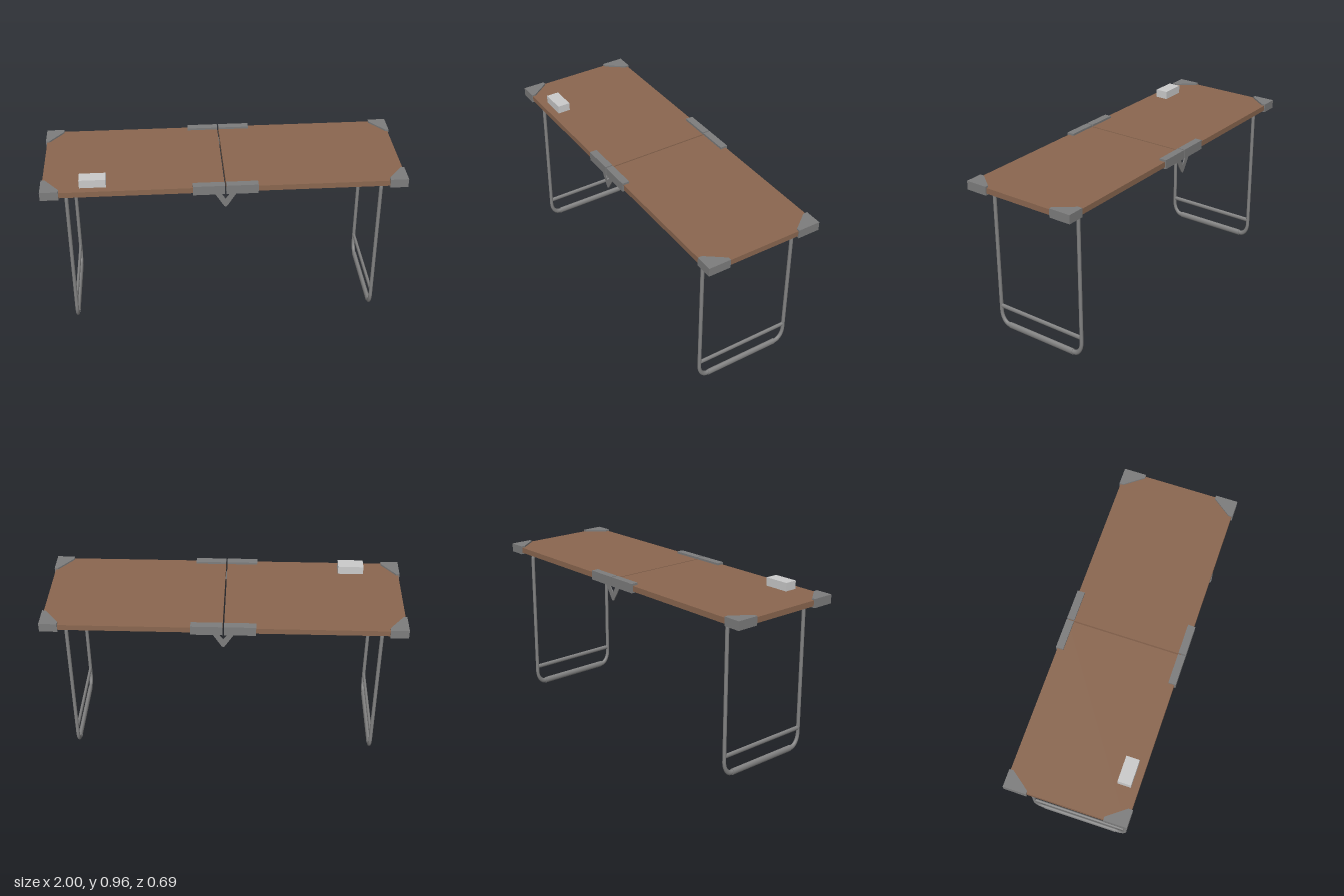
import * as THREE from 'three';

const mat = (name, color) => {
  const m = new THREE.MeshStandardMaterial({ color });
  m.name = name;
  return m;
};

export function createModel() {
  const wood = mat('brown board', 0x8b6750);
  const metal = mat('grey metal', 0x828282);
  const plastic = mat('grey fittings', 0x7d7d7d);
  const pale = mat('pale grey', 0xcbcbcb);

  const table = new THREE.Group();
  table.name = 'foldingTable';

  const add = (parent, name, geometry, material, x = 0, y = 0, z = 0) => {
    const mesh = new THREE.Mesh(geometry, material);
    mesh.name = name;
    mesh.position.set(x, y, z);
    parent.add(mesh);
    return mesh;
  };
  // Box given by its minimum and maximum corners
  const box = (name, a, b, material) => add(table, name,
    new THREE.BoxGeometry(b[0] - a[0], b[1] - a[1], b[2] - a[2]), material,
    (a[0] + b[0]) / 2, (a[1] + b[1]) / 2, (a[2] + b[2]) / 2);

  const GAP = 0.004; // half of the fold gap
  const STRETCH = 1.5; // tubes are taller than wide in section

  // Rounded closed loop of the leg frame in the yz plane, before stretching
  const loop = new THREE.CurvePath();
  const w = 0.285, y0 = 0.022 / STRETCH, y1 = 0.869 / STRETCH;
  const corners = [[w, y0, 0.053], [w, y1, 0.018], [-w, y1, 0.018], [-w, y0, 0.053]];
  const point = (z, y) => new THREE.Vector3(0, y, z);
  const k = 0.448; // handle offset for a circular corner
  const ends = corners.map(([z, y, r], i) => {
    const sz = Math.sign(z), sy = y === y0 ? -1 : 1;
    const side = t => point(z, y - sy * r * t);
    const flat = t => point(z - sz * r * t, y);
    return i % 2 ? [side(1), side(k), flat(k), flat(1)] : [flat(1), flat(k), side(k), side(1)];
  });
  ends.forEach((e, i) => {
    loop.add(new THREE.CubicBezierCurve3(...e));
    loop.add(new THREE.LineCurve3(e[3], ends[(i + 1) % 4][0]));
  });
  const frameGeo = new THREE.TubeGeometry(loop, 240, 0.0103, 14, true).scale(1, STRETCH, 1);
  const rod = (radius, length) =>
    new THREE.CylinderGeometry(radius, radius, length, 20).rotateX(Math.PI / 2).scale(1, STRETCH, 1);

  // Corner cap outline, seen from above
  const capShape = new THREE.Shape([
    [0.9, 0.342], [0.9, 0.318], [0.98, 0.213], [1, 0.213], [1, 0.342],
  ].map(p => new THREE.Vector2(...p)));

  // V-shaped hinge link below each rail
  const vShape = new THREE.Shape([
    [-0.06, 0.878], [-0.009, 0.797], [0, 0.79], [0.009, 0.797],
    [0.06, 0.878], [0.027, 0.878], [0, 0.84], [-0.027, 0.878],
  ].map(p => new THREE.Vector2(...p)));
  const vGeo = new THREE.ExtrudeGeometry(vShape, { depth: 0.006, bevelEnabled: false });

  for (const sx of [-1, 1]) {
    const span = (a, b) => (sx > 0 ? [a, b] : [-b, -a]);

    // Half of the table top
    const [bx0, bx1] = span(GAP, 0.993);
    box('tableTopHalf', [bx0, 0.886, -0.336], [bx1, 0.918, 0.336], wood);

    // Leg frame with foot sleeve, cross bar and pivot sleeve
    const leg = new THREE.Group();
    leg.name = 'legFrame';
    leg.position.x = sx * 0.8635;
    table.add(leg);
    add(leg, 'legTube', frameGeo, metal);
    add(leg, 'footSleeve', rod(0.0127, 0.45), metal, 0, 0.022, 0);
    add(leg, 'crossBar', rod(0.0087, 0.56), metal, 0, 0.13, 0);
    add(leg, 'pivotSleeve', rod(0.0127, 0.254), metal, 0, 0.868, 0);

    for (const sz of [-1, 1]) {
      // Corner cap, mirrored through its outline
      const pts = capShape.getPoints().map(p => new THREE.Vector2(p.x * sx, -p.y * sz));
      const cap = new THREE.ExtrudeGeometry(new THREE.Shape(pts), { depth: 0.05, bevelEnabled: false });
      cap.rotateX(-Math.PI / 2);
      add(table, 'cornerCap', cap, plastic, 0, 0.877, 0);

      // Edge rail beside the fold
      const [rx0, rx1] = span(GAP, 0.178);
      const [rz0, rz1] = sz > 0 ? [0.302, 0.344] : [-0.344, -0.302];
      box('hingeRail', [rx0, 0.877, rz0], [rx1, 0.93, rz1], plastic);
    }
  }

  for (const z of [0.333, -0.333]) add(table, 'hingeLink', vGeo, plastic, 0, 0, z - 0.003);

  // Small block lying on the top
  box('smallBlock', [-0.79, 0.917, 0.22], [-0.645, 0.965, 0.294], pale);

  return table;
}
